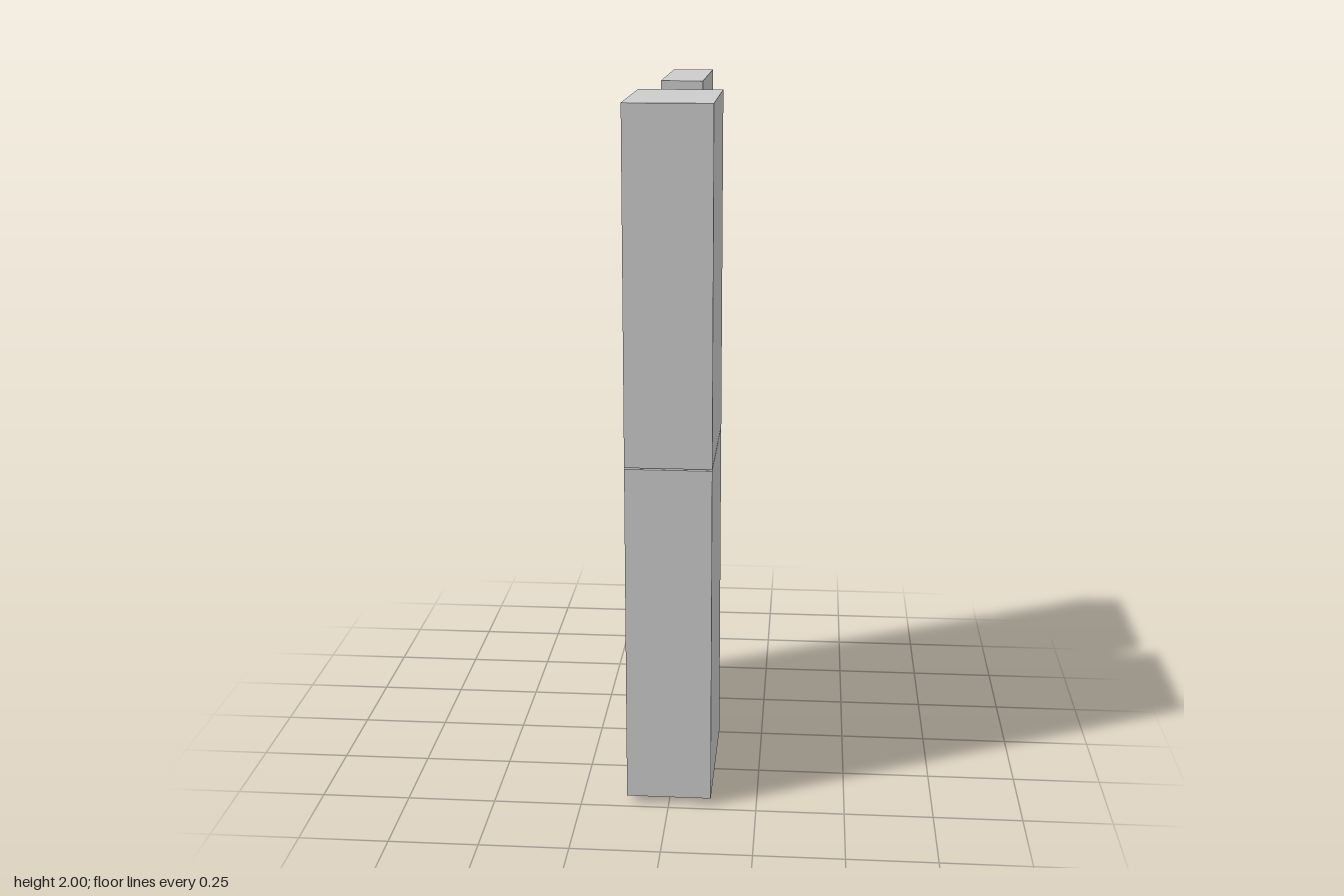
import * as THREE from 'three';

const grey = new THREE.MeshStandardMaterial({ color: 0xcccccc });
grey.name = 'plain grey';

// Box given by its width and its y and z limits, centred on x = 0
function block(name, width, y0, y1, z0, z1) {
  const mesh = new THREE.Mesh(new THREE.BoxGeometry(width, y1 - y0, z1 - z0), grey);
  mesh.position.set(0, (y0 + y1) / 2, (z0 + z1) / 2);
  mesh.name = name;
  return mesh;
}

export function createModel() {
  const model = new THREE.Group();
  model.name = 'stackedBlocks';

  // Two thick tall blocks in front, with a hairline gap between them
  const front = new THREE.Group();
  front.name = 'thickFrontColumn';
  front.add(block('lowerThickBlock', 0.24, 0.02, 0.998, 0.034, 0.475));
  front.add(block('upperThickBlock', 0.24, 1.002, 1.98, 0.034, 0.475));
  model.add(front);

  // Four thin square blocks behind, evenly spaced
  const back = new THREE.Group();
  back.name = 'thinBackColumn';
  const height = 0.478;
  const pitch = (2 - height) / 3;
  for (let i = 0; i < 4; i++) {
    back.add(block(`thinBlock${i + 1}`, 0.12, i * pitch, i * pitch + height, -0.475, -0.013));
  }
  model.add(back);

  return model;
}
